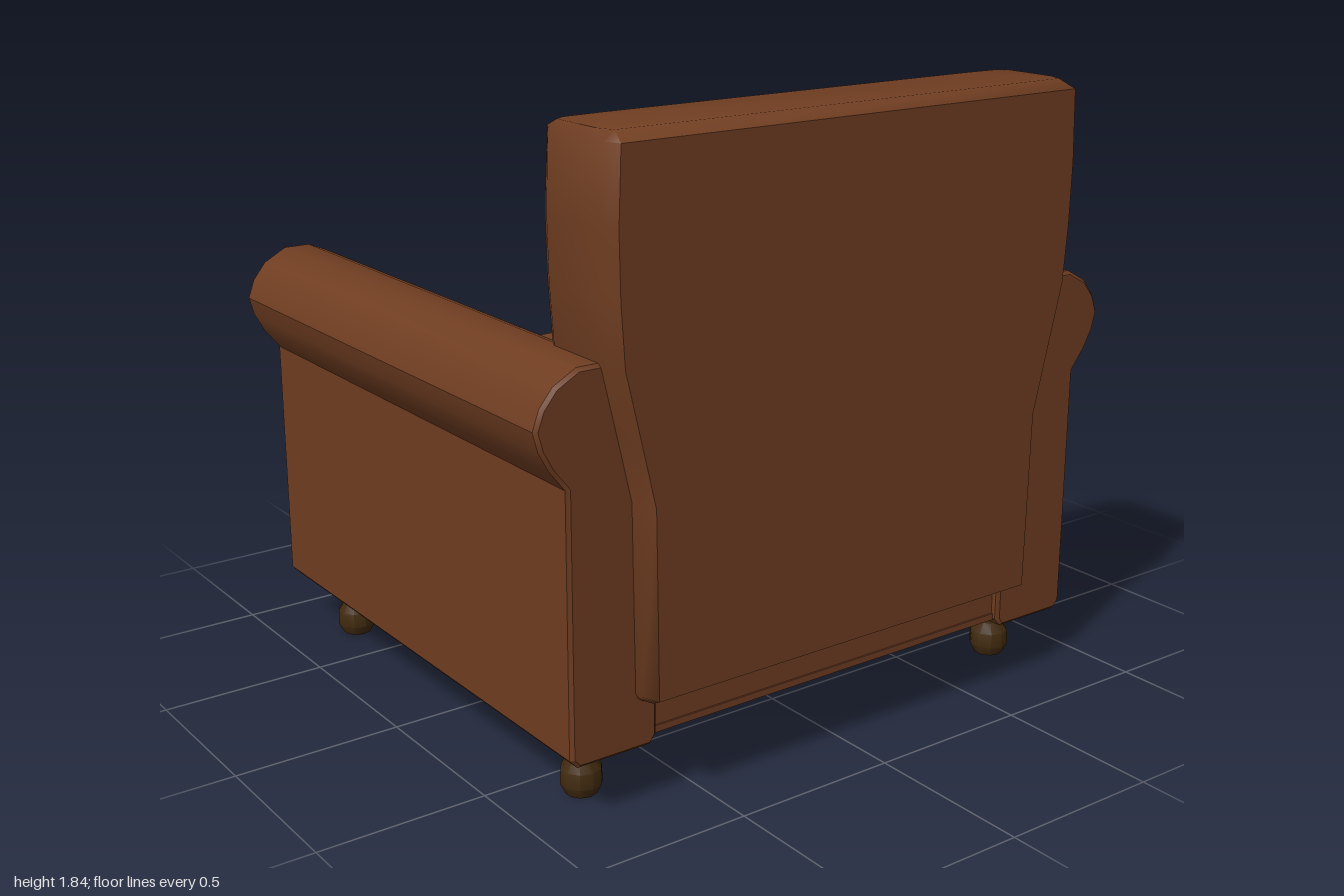
import * as THREE from 'three';
import { toCreasedNormals } from 'three/addons/utils/BufferGeometryUtils.js';
import { RoundedBoxGeometry } from 'three/addons/geometries/RoundedBoxGeometry.js';

const leather = new THREE.MeshStandardMaterial({ color: 0x6f3d21 });
const wood = new THREE.MeshStandardMaterial({ color: 0x422b0f });

// Loft through closed rings of equal point count, capped at both ends
function loft(rings) {
  const n = rings[0].length, index = [];
  for (let i = 0; i < rings.length - 1; i++) {
    for (let j = 0; j < n; j++) {
      const a = i * n + j, b = i * n + (j + 1) % n;
      index.push(a, b, b + n, a, b + n, a + n);
    }
  }
  const top = (rings.length - 1) * n;
  for (let j = 1; j < n - 1; j++) {
    index.push(0, j + 1, j, top, top + j, top + j + 1);
  }
  const geo = new THREE.BufferGeometry();
  geo.setAttribute('position', new THREE.Float32BufferAttribute(rings.flat(2), 3));
  geo.setIndex(index);
  return toCreasedNormals(geo, 1.0);
}

// Extrude a profile with small bevels that stay inside the outline
function extrude(points, length, bevel) {
  const shape = new THREE.Shape(points.map(([x, y]) => new THREE.Vector2(x, y)));
  const geo = new THREE.ExtrudeGeometry(shape, {
    depth: length - 2 * bevel, bevelThickness: bevel, bevelSize: bevel,
    bevelOffset: -bevel, bevelSegments: 1,
  });
  geo.translate(0, 0, bevel);
  return toCreasedNormals(geo, 0.5);
}

export function createModel() {
  const model = new THREE.Group();
  const add = (name, geo, material, x = 0, y = 0, z = 0) => {
    const mesh = new THREE.Mesh(geo, material);
    mesh.name = name;
    mesh.position.set(x, y, z);
    model.add(mesh);
  };

  // Rolled arms
  const armProfile = [
    [0.655, 0.17], [0.885, 0.17], [0.908, 0.195], [0.908, 0.94], [0.955, 1.0],
    [0.985, 1.055], [1.0, 1.11], [0.98, 1.165], [0.94, 1.215], [0.87, 1.253], [0.79, 1.253],
    [0.735, 1.23], [0.69, 1.18], [0.65, 1.06], [0.635, 0.92], [0.635, 0.195],
  ];
  for (const [name, s] of [['leftArm', 1], ['rightArm', -1]]) {
    add(name, extrude(armProfile.map(([x, y]) => [s * x, y]), 1.67, 0.01), leather, 0, 0, -0.875);
  }

  // Seat base with two front rails
  add('seatBase', new THREE.BoxGeometry(1.3, 0.31, 1.53), leather, 0, 0.355, 0.005);
  add('bottomPanel', new THREE.BoxGeometry(1.3, 0.02, 1.55), leather, 0, 0.2, 0);
  add('upperRail', new RoundedBoxGeometry(1.3, 0.15, 0.1, 2, 0.015), leather, 0, 0.395, -0.745);
  add('lowerRail', new RoundedBoxGeometry(1.3, 0.1, 0.1, 2, 0.015), leather, 0, 0.25, -0.745);

  // Seat cushion, profile in (-z, y) swept across the width
  const cushion = extrude([
    [-0.7, 0.5], [0.775, 0.5], [0.797, 0.56], [0.8, 0.72], [0.79, 0.79],
    [0.75, 0.858], [-0.7, 0.858],
  ], 1.3, 0.005);
  cushion.rotateY(Math.PI / 2);
  add('seatCushion', cushion, leather, -0.65);

  // Backrest: bevelled rings that flare above the arms
  const levels = [ // y, half width, inner z, inner corner z, side corner z, outer z
    [0.31, 0.675, 0.5, 0.55, 0.6, 0.83], [0.335, 0.687, 0.45, 0.53, 0.585, 0.875],
    [0.87, 0.695, 0.45, 0.53, 0.585, 0.875], [1.05, 0.738, 0.453, 0.53, 0.585, 0.875],
    [1.25, 0.787, 0.46, 0.53, 0.585, 0.875], [1.42, 0.799, 0.468, 0.53, 0.585, 0.875],
    [1.6, 0.803, 0.48, 0.53, 0.585, 0.875], [1.81, 0.795, 0.5, 0.535, 0.585, 0.875],
    [1.835, 0.78, 0.58, 0.585, 0.605, 0.825],
  ];
  const back = loft(levels.map(([y, w, inner, corner, side, outer]) => {
    const half = [[w - 0.02, outer], [w, outer - 0.05], [w, side], [w - 0.03, corner], [w - 0.15, inner]];
    const mirrored = half.map(([x, z]) => [-x, z]).reverse();
    return [...half, ...mirrored].map(([x, z]) => [x, y, z]);
  }));
  add('backrest', back, leather, -0.018);

  // Turned feet
  const footProfile = [
    [0, 0], [0.045, 0], [0.06, 0.03], [0.058, 0.075], [0.038, 0.105],
    [0.04, 0.125], [0.055, 0.16], [0.058, 0.19],
  ].map(([r, y]) => new THREE.Vector2(r, y));
  const foot = toCreasedNormals(new THREE.LatheGeometry(footProfile, 10), 0.7);
  for (const x of [-0.772, 0.772]) {
    for (const z of [0.63, -0.69]) add('foot', foot, wood, x, 0, z);
  }

  return model;
}
